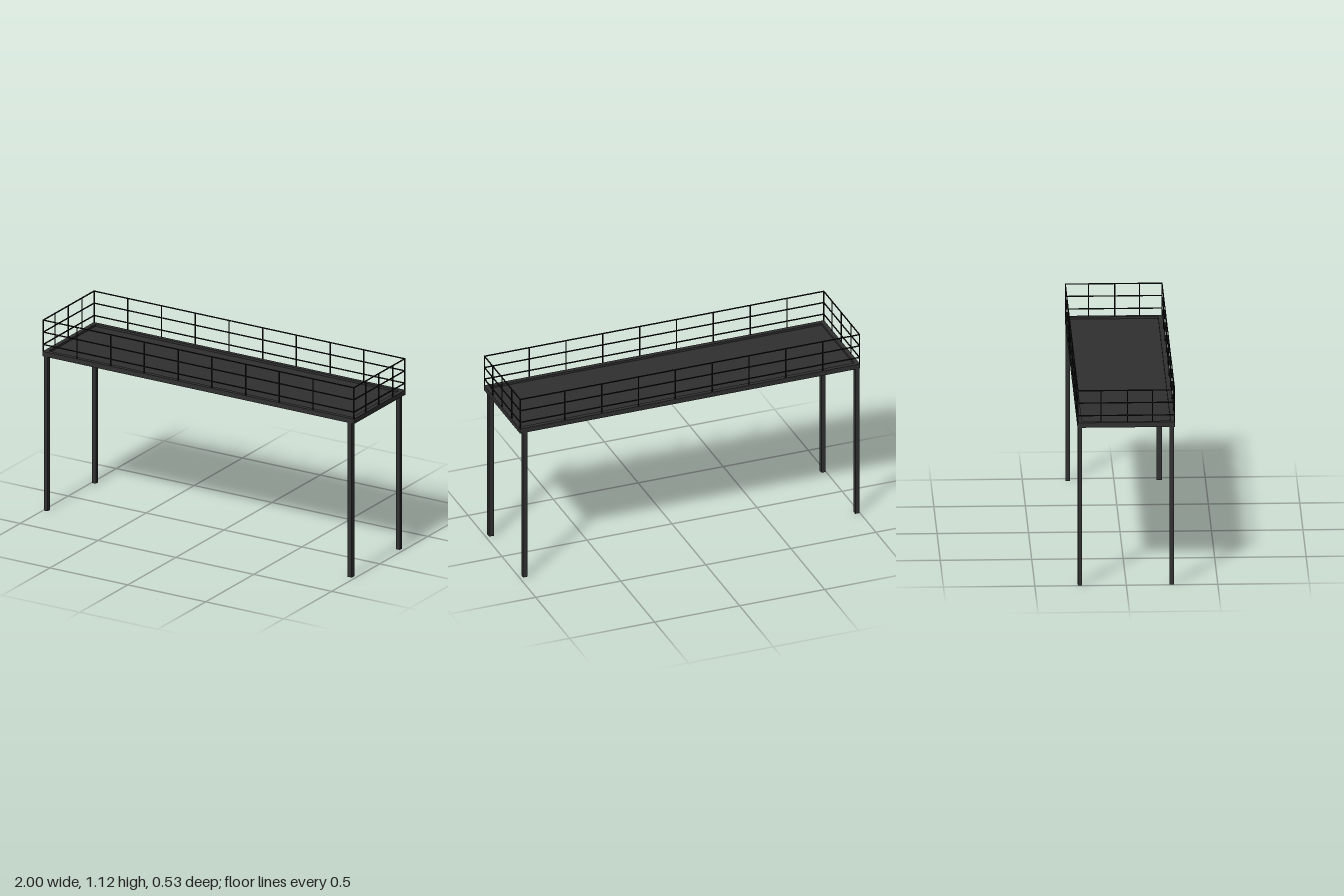
import * as THREE from 'three';

const steel = new THREE.MeshStandardMaterial({ color: 0x303030 });
const railSteel = new THREE.MeshStandardMaterial({ color: 0x141414 });

// Box given by its minimum and maximum on each axis
function box(name, [x0, x1], [y0, y1], [z0, z1], material = steel) {
  const mesh = new THREE.Mesh(new THREE.BoxGeometry(x1 - x0, y1 - y0, z1 - z0), material);
  mesh.position.set((x0 + x1) / 2, (y0 + y1) / 2, (z0 + z1) / 2);
  mesh.name = name;
  return mesh;
}

export function createModel() {
  const model = new THREE.Group();
  model.name = 'raisedPlatform';

  const X = 1, Z = 0.267, beam = 0.025;
  const low = 0.902, top = 0.93, railTop = 1.115;
  const deckY = [low, top];

  // Deck: edge beams around a recessed floor plate
  const deck = new THREE.Group();
  deck.name = 'deck';
  for (const s of [-1, 1]) {
    const z = s * (Z - beam / 2), x = s * (X - beam / 2);
    deck.add(box('longBeam', [-X, X], deckY, [z - beam / 2, z + beam / 2]));
    deck.add(box('endBeam', [x - beam / 2, x + beam / 2], deckY, [-Z + beam, Z - beam]));
  }
  deck.add(box('floorPlate', [-X + beam, X - beam], [0.912, 0.918], [-Z + beam, Z - beam]));
  model.add(deck);

  // Legs, one of them a little stouter
  const legs = [[-0.984, 0.249, 0.024], [-0.984, -0.253, 0.024], [0.968, -0.253, 0.024], [0.968, 0.248, 0.028]];
  for (const [x, z, w] of legs) {
    model.add(box('leg', [x - w / 2, x + w / 2], [0, low], [z - w / 2, z + w / 2]));
  }

  // Guard rail: posts and three horizontal bars on every side
  const guard = new THREE.Group();
  guard.name = 'guardRail';
  const t = 0.0055, h = t / 2;
  const rx = X - h, rz = Z - h;
  const post = (x, z) => guard.add(box('railPost', [x - h, x + h], [top, railTop], [z - h, z + h], railSteel));
  for (const s of [-1, 1]) {
    for (let i = 0; i < 9; i++) post(-rx + i * 0.2165, s * rz);
    post(rx, s * rz);
    for (const z of [0.142, 0.006, -0.138]) post(s * rx, z);
    for (const y of [0.97, 1.042, railTop - h]) {
      const span = [y - h, y + h];
      guard.add(box('longRail', [-X, X], span, [s * rz - h, s * rz + h], railSteel));
      guard.add(box('endRail', [s * rx - h, s * rx + h], span, [-rz + h, rz - h], railSteel));
    }
  }
  model.add(guard);

  return model;
}
